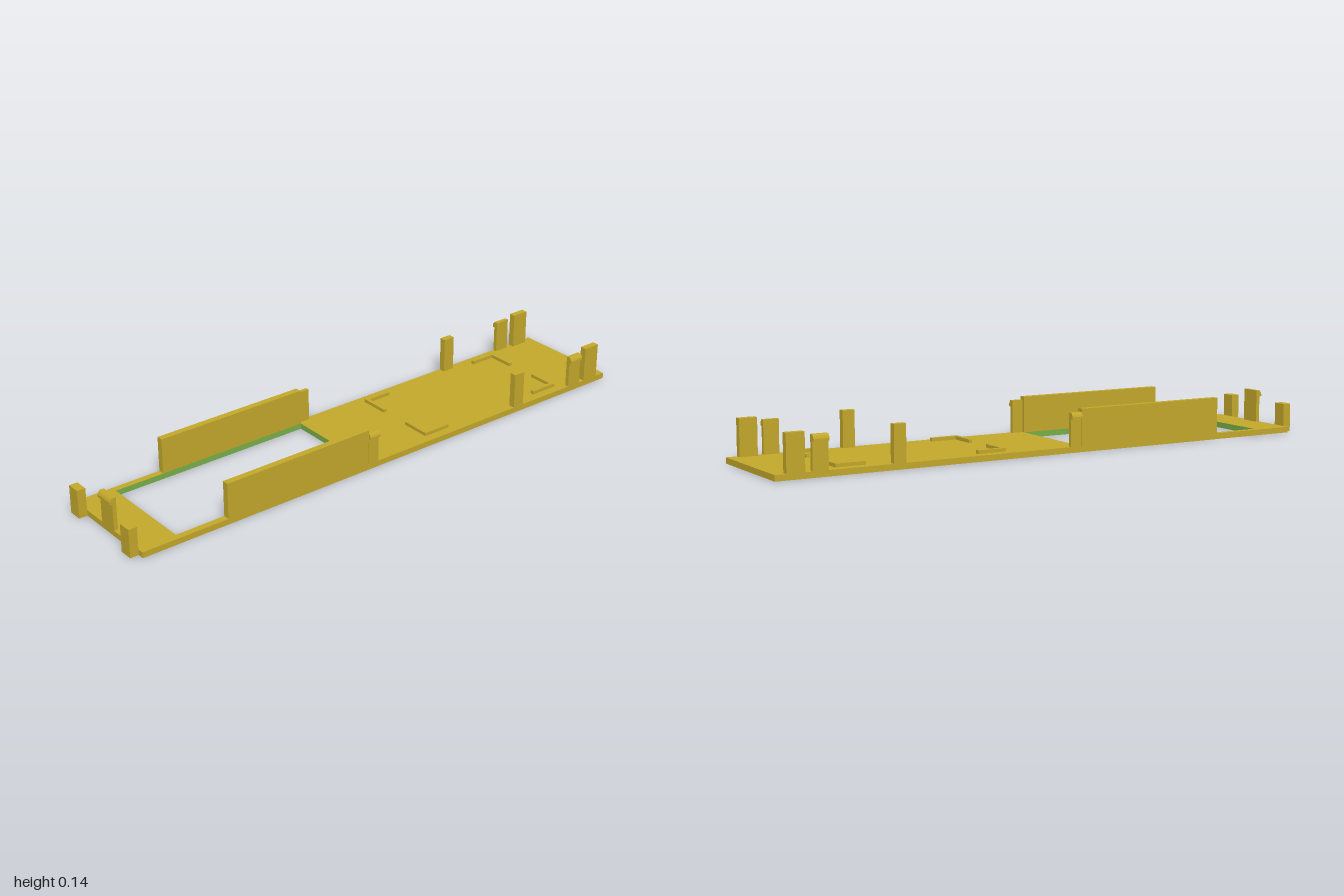
import * as THREE from 'three';

const gold = new THREE.MeshStandardMaterial({ color: 0xc4a92c });
gold.name = 'gold plastic';
const green = new THREE.MeshStandardMaterial({ color: 0x78b04a });
green.name = 'green cut edge';

export function createModel() {
  const model = new THREE.Group();
  model.name = 'snapInTray';

  // Box given by its minimum and maximum on each axis
  const box = (name, x0, x1, y0, y1, z0, z1, material = gold) => {
    const geometry = new THREE.BoxGeometry(x1 - x0, y1 - y0, z1 - z0);
    const mesh = new THREE.Mesh(geometry, material);
    mesh.position.set((x0 + x1) / 2, (y0 + y1) / 2, (z0 + z1) / 2);
    mesh.name = name;
    model.add(mesh);
  };
  // Box material list with one face green (order +x -x +y -y +z -z)
  const cutFace = (index) => Array.from({ length: 6 }, (_, i) => (i === index ? green : gold));

  const T = 0.02, W = 0.196, IN = 0.173; // floor thickness, half width, inner edge
  const HX0 = -0.835, HX1 = -0.095; // window ends

  // Floor around the rectangular window, whose cut edges are green
  box('floorMain', HX1, 1, 0, T, -W, W, cutFace(1));
  box('floorEnd', -0.97, HX0, 0, T, -W, W, cutFace(0));
  box('floorRailFront', HX0, HX1, 0, T, IN, W, cutFace(5));
  box('floorRailBack', HX0, HX1, 0, T, -W, -IN, cutFace(4));

  // Snap clip: thin upright with a rounded barb facing local +x
  const clip = (name, width) => {
    const s = new THREE.Shape();
    s.moveTo(-0.014, T);
    s.lineTo(0, T);
    s.lineTo(0, 0.112);
    s.lineTo(0.0085, 0.112);
    s.lineTo(0.0085, 0.12);
    s.quadraticCurveTo(0.006, 0.129, 0, 0.134);
    s.lineTo(-0.014, 0.134);
    s.closePath();
    const geometry = new THREE.ExtrudeGeometry(s, { depth: width, bevelEnabled: false, curveSegments: 4 });
    geometry.translate(0, 0, -width / 2);
    const mesh = new THREE.Mesh(geometry, gold);
    mesh.name = name;
    model.add(mesh);
    return mesh;
  };

  for (const side of [-1, 1]) {
    const label = side > 0 ? 'Front' : 'Back';
    const sideBox = (name, x0, x1, y0, y1, a, b) =>
      box(name + label, x0, x1, y0, y1, Math.min(side * a, side * b), Math.max(side * a, side * b));

    // Long wall and upright posts
    sideBox('sideWall', -0.655, HX1, T, 0.145, IN, W);
    sideBox('post', 0.557, 0.6, T, 0.145, IN, W);
    sideBox('endPost', 0.9, 0.962, T, 0.145, IN, W);

    // Locating tab on the end
    sideBox('endTab', -1, -0.97, 0, 0.099, 0.125, IN);

    // Side clips
    for (const [x, width] of [[-0.0735, 0.041], [0.849, 0.054]]) {
      const c = clip('sideClip' + label, width);
      c.position.set(x, 0, side * W);
      c.rotation.y = -side * Math.PI / 2;
    }

    // L-shaped corner ribs on the floor
    for (const [x0, x1, corner] of [[0.178, 0.281, 0.178], [0.682, 0.785, 0.772]]) {
      sideBox('cornerRibLong', x0, x1, T, 0.032, 0.15, 0.164);
      sideBox('cornerRibCross', corner, corner + 0.013, T, 0.032, 0.058, 0.15);
    }
  }

  // Clip in the middle of the end
  const endClip = clip('endClip', 0.07);
  endClip.position.x = -0.97;
  endClip.rotation.y = Math.PI;

  return model;
}
